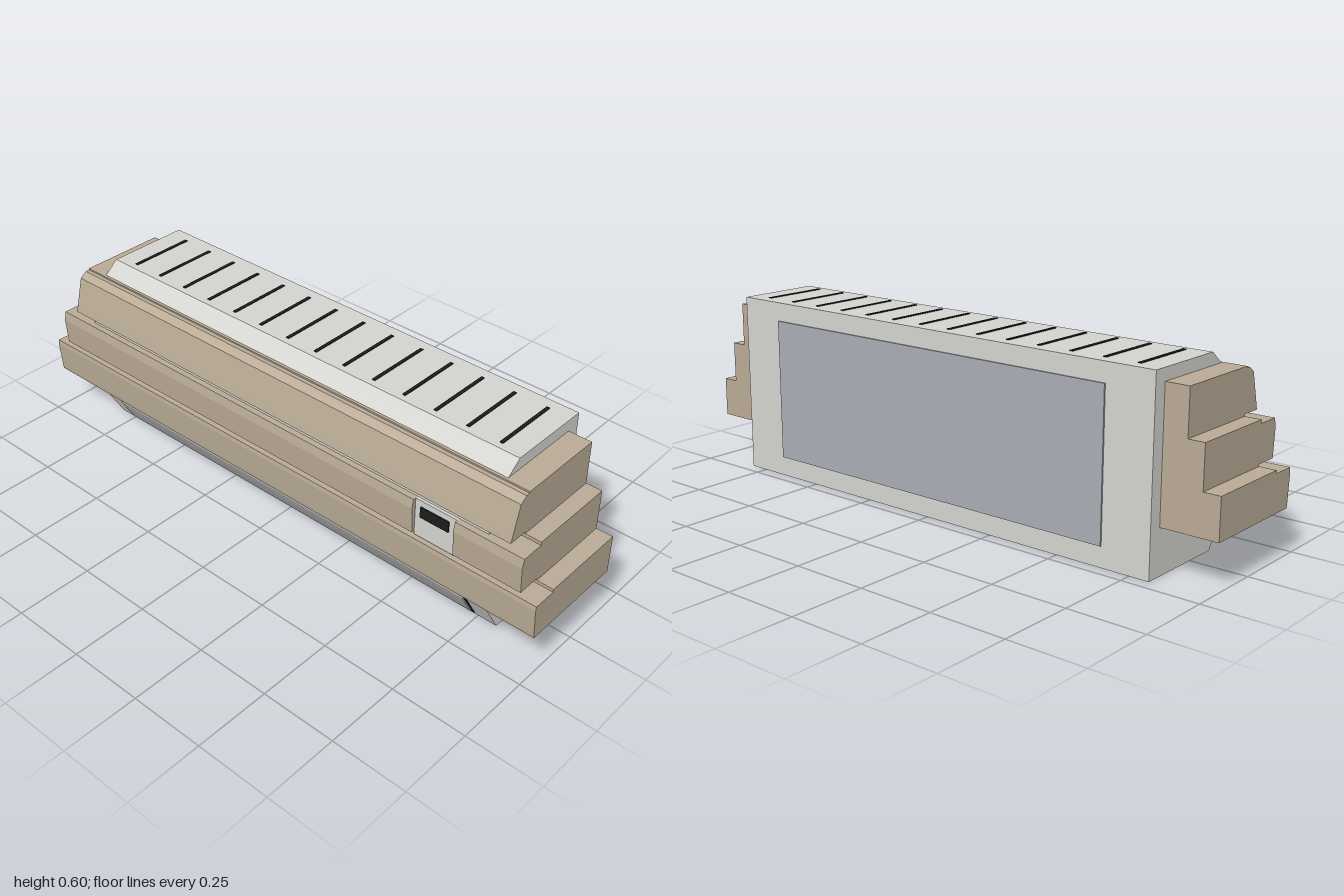
import * as THREE from 'three';

const mat = (name, color) => Object.assign(new THREE.MeshStandardMaterial({ color }), { name });

export function createModel() {
  const group = new THREE.Group();
  const casing = mat('light grey casing', 0xd2d3ce);
  const beige = mat('beige panel', 0xb8a994);
  const backGrey = mat('blue grey back', 0xa8abb2);
  const vaneGrey = mat('vane grey', 0xb0b2b0);
  const black = mat('black', 0x1c1c1c);

  const add = (name, geometry, material) => {
    const mesh = new THREE.Mesh(geometry, material);
    mesh.name = name;
    group.add(mesh);
    return mesh;
  };
  // Sweep a [z, y] side profile along x from x0 to x1
  const sweep = (name, profile, x0, x1, material) => {
    const shape = new THREE.Shape(profile.map(([z, y]) => new THREE.Vector2(-z, y)));
    const geo = new THREE.ExtrudeGeometry(shape, { depth: x1 - x0, bevelEnabled: false });
    geo.rotateY(Math.PI / 2).translate(x0, 0, 0);
    return add(name, geo, material);
  };
  const box = (name, w, h, d, x, y, z, material) =>
    add(name, new THREE.BoxGeometry(w, h, d).translate(x, y, z), material);

  // Main casing
  sweep('casing', [
    [-0.21, 0], [0.105, 0], [0.178, 0.125], [0.178, 0.15], [0.19, 0.27], [0.19, 0.42],
    [0.165, 0.5], [0.13, 0.55], [0.075, 0.594], [-0.21, 0.594],
  ], -0.815, 0.815, casing);

  // Three stepped cladding tiers: a deep block plus a shaped front slat
  const tiers = [
    { name: 'upper', x: 0.892, y0: 0.411, y1: 0.555, spans: [[-0.892, 0.892]],
      front: [[0.13, 0.417], [0.2, 0.417], [0.197, 0.43], [0.17, 0.533], [0.147, 0.55], [0.13, 0.55]] },
    { name: 'middle', x: 0.945, y0: 0.275, y1: 0.411, spans: [[-0.945, 0.57], [0.715, 0.945]],
      front: [[0.13, 0.281], [0.21, 0.281], [0.216, 0.37], [0.21, 0.4], [0.13, 0.4]] },
    { name: 'lower', x: 1, y0: 0.145, y1: 0.275, spans: [[-1, 1]],
      front: [[0.13, 0.145], [0.205, 0.145], [0.207, 0.155], [0.214, 0.25], [0.212, 0.265], [0.13, 0.265]] },
  ];
  for (const t of tiers) {
    box(t.name + 'Block', t.x * 2, t.y1 - t.y0, 0.298, 0, (t.y0 + t.y1) / 2, -0.016, beige);
    for (const [x0, x1] of t.spans) sweep(t.name + 'Slat', t.front, x0, x1, beige);
  }

  // Display window in the gap of the middle slat
  box('displayPanel', 0.145, 0.13, 0.02, 0.6425, 0.335, 0.19, casing);
  box('display', 0.1, 0.036, 0.006, 0.64, 0.362, 0.202, black);

  // Air outlet: dark surround with a thin vane on the sloping lower face
  sweep('outletSurround', [[0.11, 0.012], [0.1145, 0.0115], [0.178, 0.12], [0.165, 0.12]], -0.742, 0.742, black);
  sweep('vane', [
    [0.113, 0.017], [0.119, 0.015], [0.137, 0.042], [0.156, 0.074], [0.171, 0.102],
    [0.171, 0.108], [0.166, 0.108],
  ], -0.735, 0.735, vaneGrey);

  // Row of slots in the top
  for (let i = 0; i < 14; i++) {
    box('topSlot', 0.011, 0.004, 0.225, -0.738 + i * 0.1135, 0.5945, -0.06, black);
  }

  // Mounting plate on the back
  box('backPlate', 1.31, 0.468, 0.008, 0, 0.299, -0.211, backGrey);
  return group;
}
